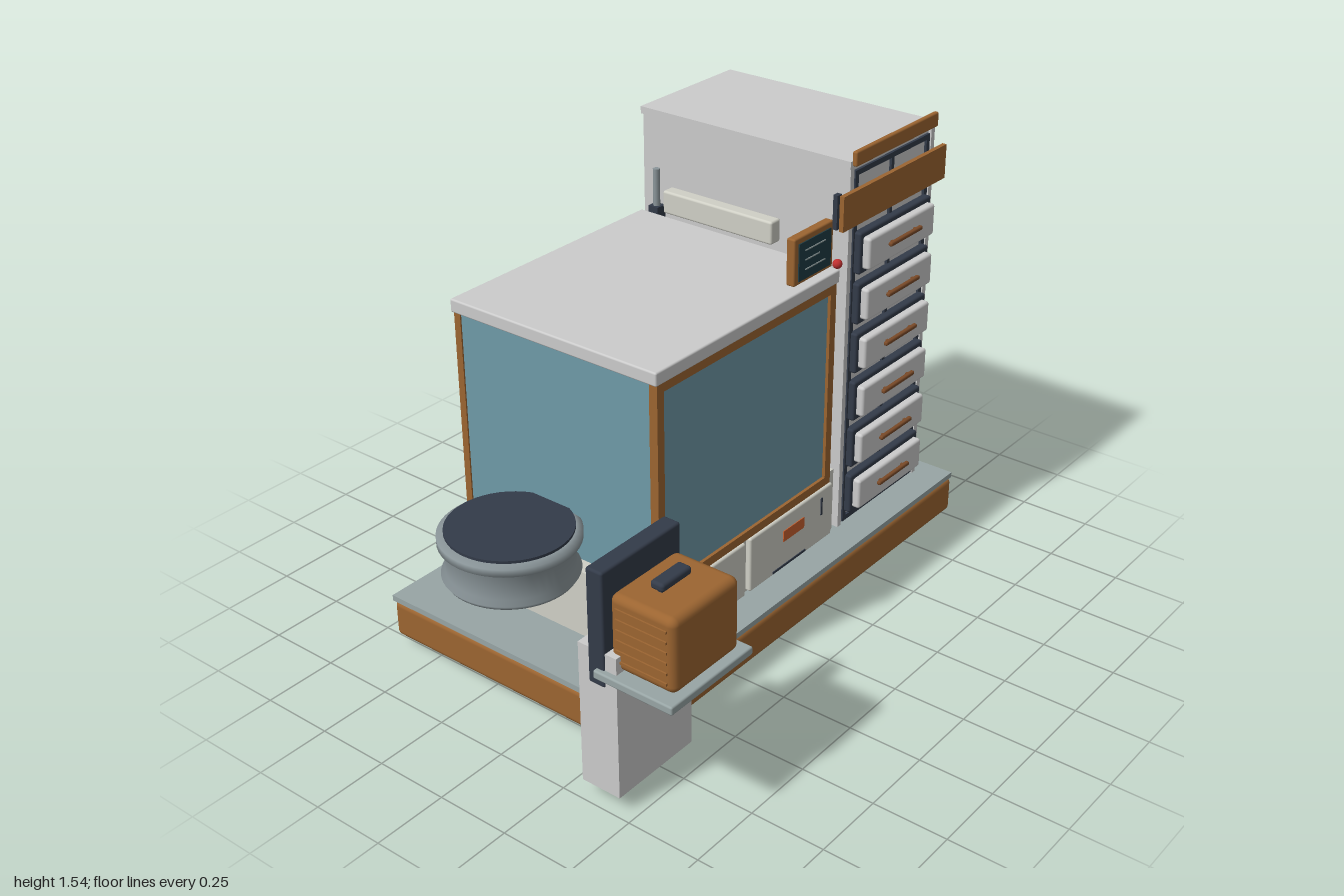
import * as THREE from 'three';
import { RoundedBoxGeometry } from 'three/addons/geometries/RoundedBoxGeometry.js';

const paint = (color) => new THREE.MeshStandardMaterial({ color });
const GREY = paint(0xcccccc), WOOD = paint(0x9c6531), DARK = paint(0x333b49), STONE = paint(0x98a5a5);
const GLASS = paint(0x6f9aa8), CREAM = paint(0xd0d0c6), BROWN = paint(0x7a4a28), SCREEN = paint(0x1f3c44);
const RED = paint(0xc03030), ORANGE = paint(0xc8602f), METAL = paint(0x8b969a);

export function createModel() {
  const root = new THREE.Group();
  const add = (name, geo, mat, x, y, z) => {
    const m = new THREE.Mesh(geo, mat);
    m.name = name;
    m.position.set(x, y, z);
    root.add(m);
    return m;
  };
  // box given by its min and max on each axis; r rounds the edges
  const box = (name, mat, x0, x1, y0, y1, z0, z1, r = 0) => {
    const s = [x1 - x0, y1 - y0, z1 - z0];
    const geo = r ? new RoundedBoxGeometry(...s, 3, r) : new THREE.BoxGeometry(...s);
    return add(name, geo, mat, (x0 + x1) / 2, (y0 + y1) / 2, (z0 + z1) / 2);
  };
  const disc = (name, mat, r, y0, y1, x, z, n = 40) =>
    add(name, new THREE.CylinderGeometry(r, r, y1 - y0, n), mat, x, (y0 + y1) / 2, z);
  const turned = (name, mat, pts, x, y, z) =>
    add(name, new THREE.LatheGeometry(pts.map((p) => new THREE.Vector2(...p)), 48), mat, x, y, z);
  // four-sided frame in the xy plane
  const frame = (name, mat, x0, x1, y0, y1, z0, z1, t) => {
    box(name, mat, x0, x0 + t, y0, y1, z0, z1);
    box(name, mat, x1 - t, x1, y0, y1, z0, z1);
    box(name, mat, x0 + t, x1 - t, y0, y0 + t, z0, z1);
    box(name, mat, x0 + t, x1 - t, y1 - t, y1, z0, z1);
  };

  // Base
  box('basePlinth', WOOD, -0.79, 0.99, 0.035, 0.167, -0.662, 0.338, 0.02);
  box('baseTop', STONE, -0.79, 0.99, 0.165, 0.185, -0.665, 0.335);
  box('machineUnderplate', GREY, -0.57, 0.39, 0.015, 0.04, -0.55, 0.22);
  box('towerUnderplate', DARK, 0.42, 0.93, 0.022, 0.04, -0.62, 0.22);
  for (const z of [0.26, -0.58]) for (const x of [-0.71, 0.89]) disc('baseFoot', DARK, 0.04, 0.012, 0.04, x, z, 24);
  for (const z of [0.14, -0.47]) {
    for (const x of [-0.48, 0.31]) disc('machineFoot', DARK, 0.03, 0, 0.02, x, z, 20);
    for (const x of [0.5, 0.85]) disc('towerFoot', DARK, 0.025, 0.012, 0.03, x, z, 20);
  }

  // Machine housing and its two front drawers
  box('machineHousing', CREAM, -0.58, 0.41, 0.185, 0.42, -0.55, 0.215);
  for (const [x0, x1, slot] of [[-0.55, -0.1, -0.495], [-0.075, 0.38, 0.315]]) {
    box('machineDrawer', CREAM, x0, x1, 0.19, 0.39, 0.21, 0.235, 0.008);
    box('drawerSlot', DARK, slot - 0.004, slot + 0.004, 0.295, 0.36, 0.234, 0.238);
    box('drawerGrip', DARK, x0 + 0.12, x0 + 0.3, 0.198, 0.206, 0.234, 0.238);
  }
  box('drawerLabel', ORANGE, 0.1, 0.215, 0.295, 0.335, 0.234, 0.238);

  // Glazed chamber, open at the back
  box('chamberRoof', GREY, -0.54, 0.37, 1.125, 1.17, -0.57, 0.24, 0.006);
  frame('frontFrame', WOOD, -0.53, 0.36, 0.4, 1.125, 0.205, 0.235, 0.03);
  frame('backFrame', WOOD, -0.53, 0.36, 0.4, 1.125, -0.565, -0.54, 0.03);
  box('frontGlass', GLASS, -0.505, 0.335, 0.425, 1.1, 0.212, 0.224);
  box('sideGlass', GLASS, -0.525, -0.513, 0.42, 1.125, -0.54, 0.205);

  // Cooking plates, press and carriage inside the chamber
  const cx = -0.08, cz = -0.17;
  turned('lowerPlateHousing', METAL, [[0, 0], [0.2, 0], [0.25, 0.03], [0.25, 0.08], [0.21, 0.1], [0, 0.1]], cx, 0.42, cz);
  disc('lowerPlate', DARK, 0.235, 0.51, 0.54, cx, cz);
  disc('lowerGrid', SCREEN, 0.19, 0.54, 0.553, cx, cz);
  disc('upperPlate', GREY, 0.25, 0.8, 0.85, cx, cz);
  disc('upperPlateCap', CREAM, 0.21, 0.85, 0.87, cx, cz);
  disc('pressRod', METAL, 0.015, 0.86, 1.06, cx, cz, 16);
  box('crossbar', METAL, -0.5, 0.33, 0.96, 1, cz - 0.02, cz + 0.02);
  const ring = add('overheadRing', new THREE.TorusGeometry(0.24, 0.014, 10, 48), METAL, cx, 1.08, cz);
  ring.rotation.x = Math.PI / 2;
  for (const z of [-0.45, -0.29]) box('chamberPost', DARK, 0.285, 0.32, 0.42, 1.125, z - 0.02, z + 0.02);
  for (let i = 0; i < 4; i++) disc('fork', DARK, 0.006, 0.42, 0.52, 0.2 + i * 0.03, -0.47, 8);

  // Order screen on the roof
  box('screenBody', WOOD, 0.163, 0.37, 1.172, 1.33, 0.178, 0.21, 0.006);
  box('screenFace', SCREEN, 0.183, 0.353, 1.185, 1.31, 0.209, 0.214);
  for (let i = 0; i < 3; i++) box('screenLine', STONE, 0.215, 0.32 - (i % 2) * 0.03, 1.215 + i * 0.032, 1.219 + i * 0.032, 0.213, 0.216);
  disc('screenStalk', METAL, 0.016, 1.17, 1.24, 0.265, 0.155, 16);

  // Cabinet tower
  box('towerBody', GREY, 0.435, 0.915, 0.185, 1.48, -0.61, 0.213);
  box('towerBackPanel', GREY, 0.45, 0.9, 0.19, 1.48, -0.62, -0.6);
  box('towerRoof', GREY, 0.43, 0.918, 1.48, 1.505, -0.617, 0.225);
  for (const [x0, x1] of [[0.432, 0.452], [0.898, 0.918]]) box('towerStile', GREY, x0, x1, 0.185, 1.48, 0.2, 0.225);
  frame('towerFrontFrame', DARK, 0.465, 0.895, 0.19, 1.465, 0.212, 0.222, 0.018);
  box('towerDivider', DARK, 0.67, 0.685, 0.2, 1.45, 0.212, 0.222);
  for (let i = 0; i < 6; i++) {
    const y = 0.3 + i * 0.177;
    box('towerDrawerRim', DARK, 0.473, 0.887, y - 0.072, y + 0.072, 0.213, 0.245, 0.008);
    box('towerDrawerFront', GREY, 0.488, 0.872, y - 0.055, y + 0.055, 0.235, 0.272, 0.01);
    box('towerDrawerHandle', BROWN, 0.585, 0.77, y, y + 0.015, 0.276, 0.292, 0.006);
    for (const x of [0.61, 0.745]) box('handlePost', BROWN, x - 0.005, x + 0.005, y + 0.003, y + 0.012, 0.27, 0.28);
  }
  box('towerCrest', WOOD, 0.435, 0.908, 1.49, 1.54, 0.226, 0.244, 0.006);
  box('towerSign', WOOD, 0.375, 0.97, 1.292, 1.41, 0.226, 0.242);
  box('signBracket', DARK, 0.362, 0.385, 1.3, 1.415, 0.21, 0.226);

  // Service rail and fittings between the chamber and the tower
  box('serviceBar', CREAM, 0.385, 0.435, 1.17, 1.25, -0.49, -0.04, 0.008);
  disc('serviceRod', METAL, 0.012, 0.42, 1.32, 0.39, -0.52, 12);
  box('rodClamp', DARK, 0.37, 0.41, 1.14, 1.19, -0.54, -0.5);
  for (const y of [0.4, 0.57, 0.77, 0.93, 1.08]) box('railBracket', CREAM, 0.375, 0.435, y - 0.04, y + 0.04, -0.14, -0.06, 0.006);
  add('signalLamp', new THREE.SphereGeometry(0.016, 16, 12), RED, 0.39, 1.175, 0.215);

  // Round canister on a side arm
  box('canisterArm', GREY, -0.78, -0.56, 0.4, 0.43, -0.25, -0.15, 0.006);
  turned('canister', METAL, [[0, 0], [0.205, 0], [0.215, 0.015], [0.2, 0.03], [0.2, 0.11], [0.222, 0.125],
    [0.222, 0.15], [0.2, 0.158], [0, 0.158]], -0.71, 0.42, -0.2);
  disc('canisterLid', DARK, 0.2, 0.57, 0.587, -0.71, -0.2, 48);

  // Side stand carrying the small oven
  box('standColumn', GREY, -0.98, -0.65, 0.05, 0.535, 0.31, 0.45);
  box('standShelf', STONE, -1, -0.635, 0.452, 0.48, 0.38, 0.662, 0.006);
  box('standBackrest', DARK, -0.985, -0.645, 0.42, 0.8, 0.35, 0.41, 0.008);
  box('oven', WOOD, -0.96, -0.667, 0.48, 0.725, 0.41, 0.64, 0.025);
  for (let i = 0; i < 6; i++) {
    const y = 0.51 + i * 0.034;
    for (const x of [-0.96, -0.667]) box('ovenRib', WOOD, x - 0.005, x + 0.005, y, y + 0.008, 0.435, 0.615);
  }
  box('ovenHandle', DARK, -0.883, -0.755, 0.735, 0.762, 0.492, 0.54, 0.01);
  for (const x of [-0.86, -0.78]) box('ovenHandlePost', DARK, x - 0.008, x + 0.008, 0.72, 0.74, 0.508, 0.524);

  return root;
}
